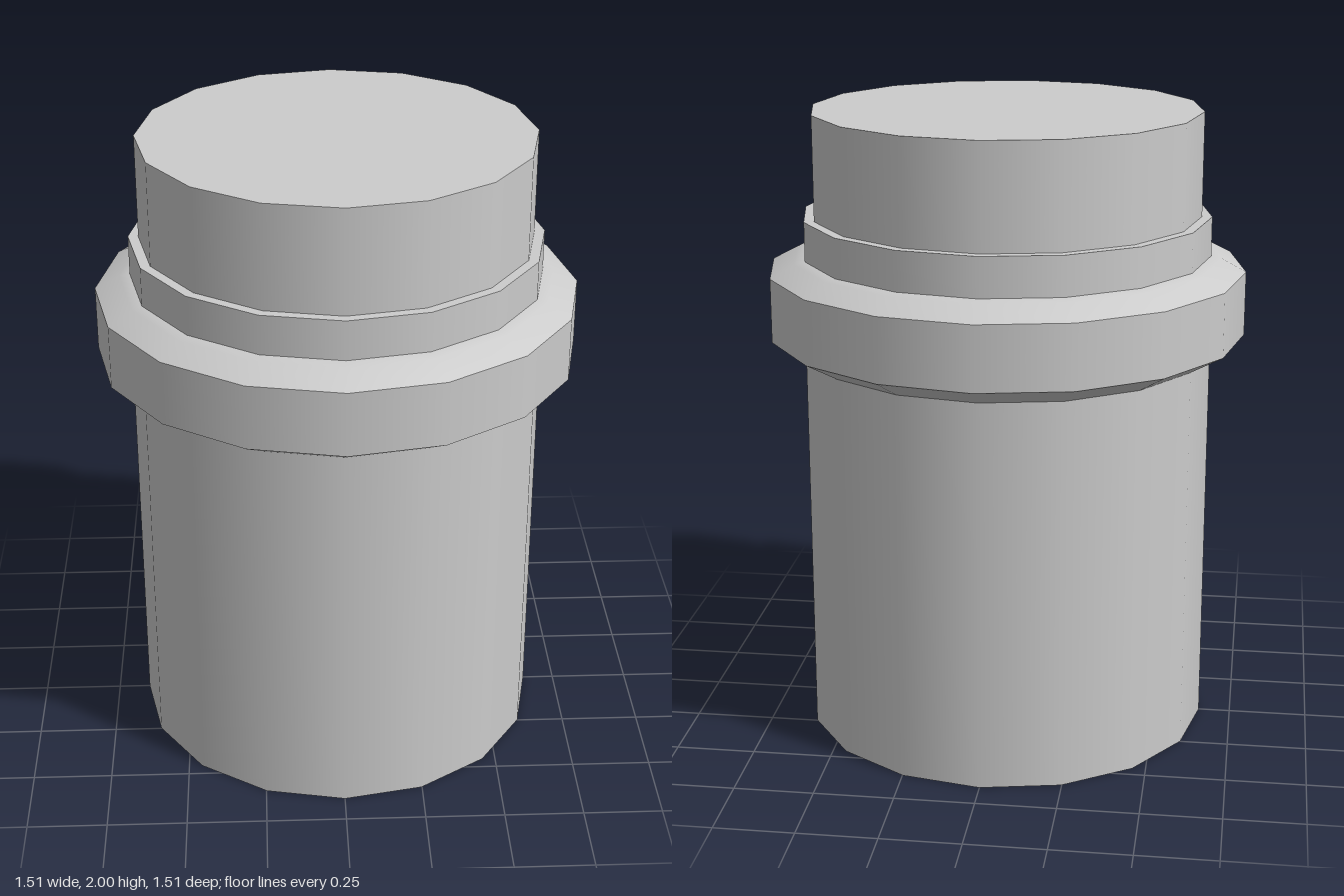
import * as THREE from 'three';

const SIDES = 16;

export function createModel() {
  const model = new THREE.Group();
  const material = new THREE.MeshStandardMaterial({ color: 0xcccccc });

  // A turned surface from [radius, y] points listed from bottom to top along the outside
  const turned = (parent, name, ...points) => {
    const profile = points.map(([r, y]) => new THREE.Vector2(r, y));
    const mesh = new THREE.Mesh(new THREE.LatheGeometry(profile, SIDES), material);
    mesh.name = name;
    parent.add(mesh);
  };

  // Main body with its flat base
  const body = new THREE.Group();
  body.name = 'body';
  turned(body, 'base', [0, 0], [0.648, 0]);
  turned(body, 'bodyWall', [0.648, 0], [0.648, 1.24]);

  // Bevelled collar
  const collar = new THREE.Group();
  collar.name = 'collar';
  turned(collar, 'collarLowerBevel', [0.648, 1.24], [0.754, 1.3]);
  turned(collar, 'collarBand', [0.754, 1.3], [0.754, 1.502]);
  turned(collar, 'collarUpperBevel', [0.754, 1.502], [0.677, 1.543], [0.644, 1.55]);

  // Narrow neck and its shoulder
  const neck = new THREE.Group();
  neck.name = 'neck';
  turned(neck, 'neckWall', [0.644, 1.55], [0.644, 1.674]);
  turned(neck, 'neckShoulder', [0.644, 1.674], [0.612, 1.674]);

  // Upper plug with its flat top
  const plug = new THREE.Group();
  plug.name = 'plug';
  turned(plug, 'plugWall', [0.612, 1.674], [0.612, 2]);
  turned(plug, 'plugTop', [0.612, 2], [0, 2]);

  model.add(body, collar, neck, plug);
  return model;
}
